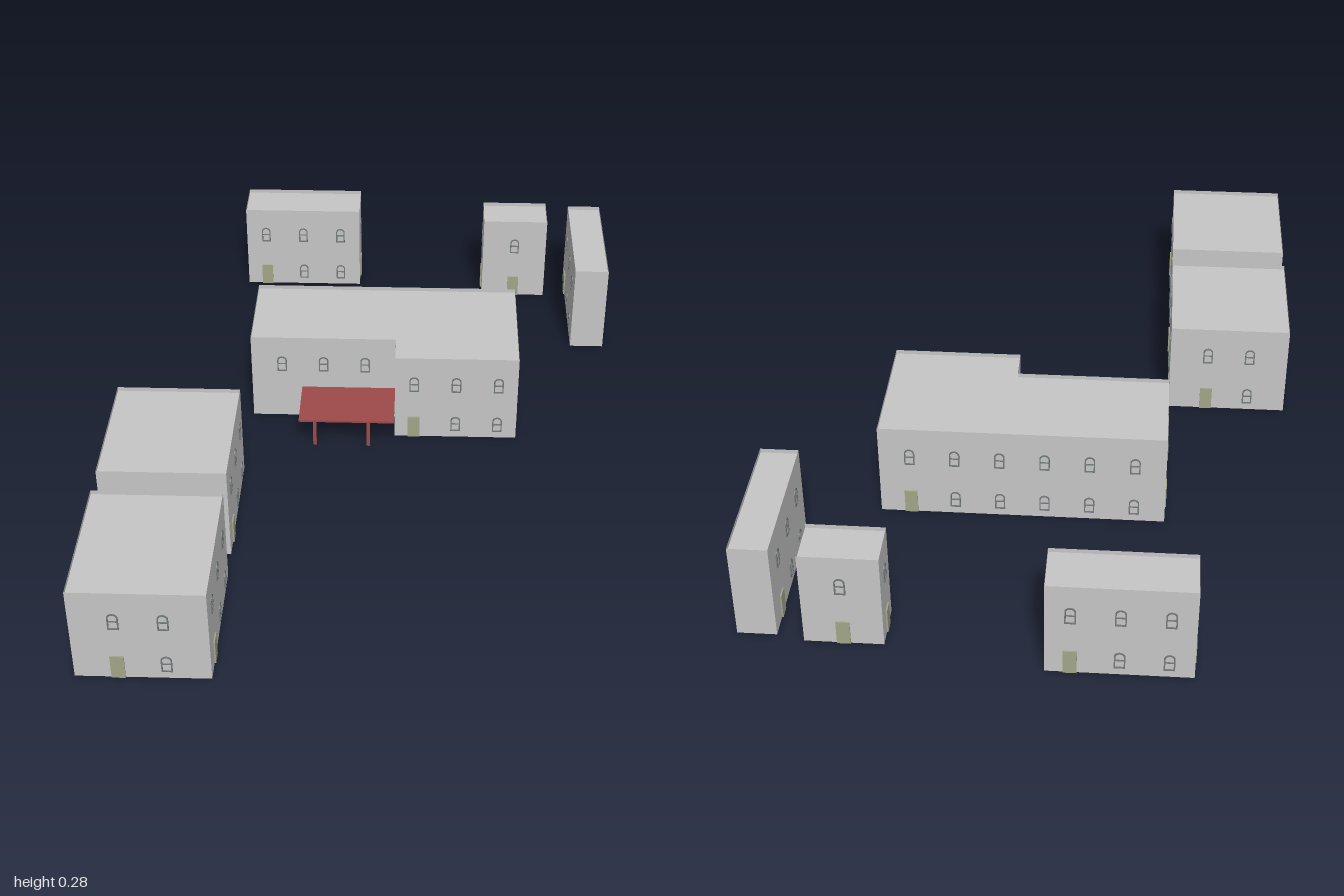
import * as THREE from 'three';

const HEIGHT = 0.275, ROOF_Y = 0.263, SPACING = 0.122, MARGIN = 0.104;

function material(name, color, side = THREE.FrontSide) {
  const m = new THREE.MeshStandardMaterial({ color, side });
  m.name = name;
  return m;
}

// Arched outline: straight jambs with a half-round head
function arch(Path, w, h, y = 0) {
  const p = new Path(), r = w / 2;
  p.moveTo(-r, y);
  p.lineTo(r, y);
  p.lineTo(r, y + h - r);
  p.absarc(0, y + h - r, r, 0, Math.PI, false);
  p.lineTo(-r, y);
  return p;
}

export function createModel() {
  const wallMat = material('wall grey', 0xc6c6c6, THREE.DoubleSide);
  const frameMat = material('window frame grey', 0x747a7a);
  const doorMat = material('door olive', 0xa2a688);
  const redMat = material('canopy red', 0x9e4a4a);

  // Shared window and door geometry, passing through the wall plane
  const ring = arch(THREE.Shape, 0.028, 0.05);
  ring.holes.push(arch(THREE.Path, 0.021, 0.043, 0.0035));
  const frameGeo = new THREE.ExtrudeGeometry(ring, { depth: 0.006, bevelEnabled: false, curveSegments: 6 });
  frameGeo.translate(0, 0, -0.003);
  const barGeo = new THREE.BoxGeometry(0.022, 0.003, 0.005).translate(0, 0.025, 0);
  const doorGeo = new THREE.BoxGeometry(0.035, 0.07, 0.008).translate(0, 0.035, 0);

  function add(parent, name, geo, mat, x = 0, y = 0, z = 0) {
    const m = new THREE.Mesh(geo, mat);
    m.name = name;
    m.position.set(x, y, z);
    parent.add(m);
    return m;
  }

  function addWindow(parent, x, y) {
    const g = new THREE.Group();
    g.name = 'window';
    g.position.set(x, y, 0);
    add(g, 'windowFrame', frameGeo, frameMat);
    add(g, 'windowBar', barGeo, frameMat);
    parent.add(g);
  }

  // One facade: a thin wall with two storeys of openings and a door at its left
  function makeWall([x0, z0], [x1, z1], hasDoor) {
    const dx = x1 - x0, dz = z1 - z0, len = Math.hypot(dx, dz);
    const g = new THREE.Group();
    g.name = 'facade';
    g.position.set((x0 + x1) / 2, 0, (z0 + z1) / 2);
    g.rotation.y = Math.atan2(-dz, dx);
    add(g, 'wall', new THREE.PlaneGeometry(len, HEIGHT), wallMat, 0, HEIGHT / 2, 0);
    const n = Math.floor((len - MARGIN) / SPACING) + 1;
    for (let i = 0; i < n; i++) {
      const x = (i - (n - 1) / 2) * SPACING;
      addWindow(g, x, 0.16);
      if (i > 0) addWindow(g, x, 0.022);
      else if (hasDoor) add(g, 'door', doorGeo, doorMat, x);
    }
    return g;
  }

  // Open-bottomed building: facades around a footprint, roof sunk behind the parapet
  function makeBuilding(name, pts, doorless = -1) {
    const g = new THREE.Group();
    g.name = name;
    pts.forEach((p, i) => g.add(makeWall(p, pts[(i + 1) % pts.length], i !== doorless)));
    const shape = new THREE.Shape(pts.map(([x, z]) => new THREE.Vector2(x, -z)));
    add(g, 'roof', new THREE.ShapeGeometry(shape).rotateX(-Math.PI / 2), wallMat, 0, ROOF_Y, 0);
    return g;
  }

  const rect = (x0, x1, z0, z1) => [[x0, z1], [x1, z1], [x1, z0], [x0, z0]];
  const model = new THREE.Group();
  model.name = 'buildingComplex';
  model.add(
    makeBuilding('frontBlock', rect(-0.71, -0.368, 0.61, 1)),
    makeBuilding('middleBlock', rect(-0.71, -0.368, 0.15, 0.53)),
    makeBuilding('backRightBlock', rect(-0.445, -0.075, -1, -0.86)),
    makeBuilding('backLeftBlock', rect(0.33, 0.533, -0.935, -0.81)),
    makeBuilding('narrowBlock', rect(0.605, 0.707, -0.918, -0.51)),
    makeBuilding('mainBlock', [
      [-0.363, -0.113], [0.06, -0.113], [0.06, -0.018],
      [0.415, -0.018], [0.415, -0.4], [-0.363, -0.4],
    ], 0),
  );

  // Red entrance canopy on two posts
  const canopy = new THREE.Group();
  canopy.name = 'canopy';
  add(canopy, 'canopyRoof', new THREE.BoxGeometry(0.275, 0.006, 0.168), redMat, -0.0785, 0.1, -0.029);
  for (const x of [-0.17, -0.015]) {
    add(canopy, 'canopyPost', new THREE.BoxGeometry(0.01, 0.084, 0.006), redMat, x, 0.057, 0.052);
  }
  model.add(canopy);
  return model;
}
